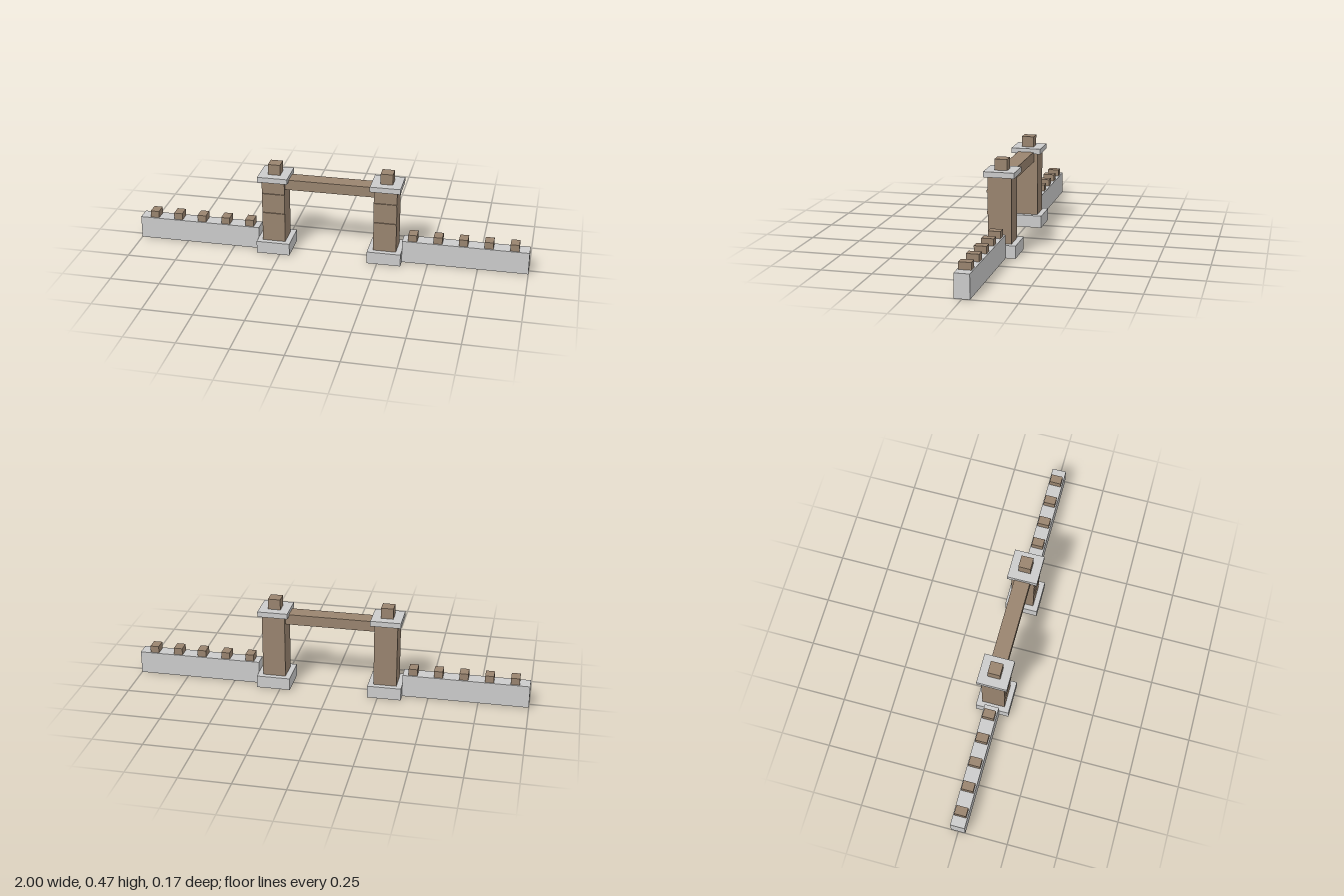
import * as THREE from 'three';

export function createModel() {
  const model = new THREE.Group();
  const stone = new THREE.MeshStandardMaterial({ color: 0xcccccc });
  const wood = new THREE.MeshStandardMaterial({ color: 0x99846f });

  // Box given by its size, centre x, bottom y and centre z
  function box(parent, name, material, [w, h, d], x, y, z = 0) {
    const mesh = new THREE.Mesh(new THREE.BoxGeometry(w, h, d), material);
    mesh.name = name;
    mesh.position.set(x, y + h / 2, z);
    parent.add(mesh);
    return mesh;
  }

  const towerX = 0.284;
  for (const side of [1, -1]) {
    const label = side > 0 ? 'left' : 'right';

    // Gate tower: plinth, shaft, cap and finial
    const tower = new THREE.Group();
    tower.name = label + 'Tower';
    tower.position.x = side * towerX;
    box(tower, 'plinth', stone, [0.17, 0.063, 0.17], 0, 0);
    box(tower, 'shaft', wood, [0.116, 0.326, 0.116], 0, 0.063);
    box(tower, 'cap', stone, [0.152, 0.027, 0.152], 0, 0.389);
    box(tower, 'finial', wood, [0.062, 0.054, 0.062], 0, 0.416);
    // Thin bands across the front face
    for (const y of [0.206, 0.311]) {
      box(tower, 'frontBand', wood, [0.114, 0.012, 0.006], 0, y, 0.06);
    }
    model.add(tower);

    // Low wall with a row of merlons
    const wall = new THREE.Group();
    wall.name = label + 'Wall';
    box(wall, 'wallBody', stone, [0.631, 0.116, 0.073], side * 0.6845, 0);
    for (let i = 0; i < 5; i++) {
      box(wall, 'merlon', wood, [0.044, 0.035, 0.06], side * (0.42 + i * 0.1265), 0.116);
    }
    model.add(wall);
  }

  // Lintel between the towers
  box(model, 'lintel', wood, [0.452, 0.053, 0.08], 0, 0.345);

  return model;
}
